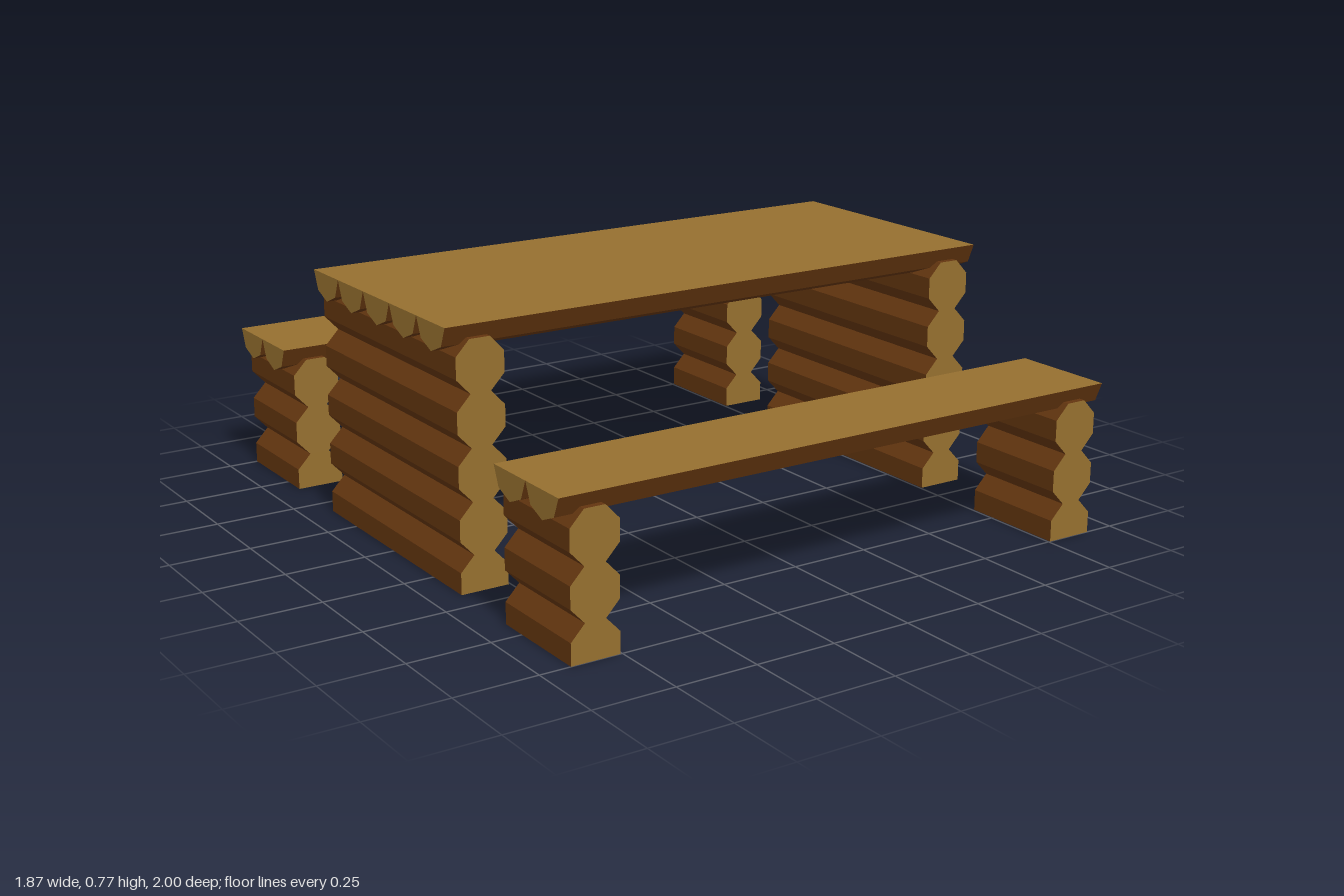
import * as THREE from 'three';

const cutWood = new THREE.MeshStandardMaterial({ color: 0x956f2f });
cutWood.name = 'cutWood';
const bark = new THREE.MeshStandardMaterial({ color: 0x63350f });
bark.name = 'bark';

// Flat-faced prism along z from a counter-clockwise convex profile.
// Group 0 is bark, group 1 is sawn wood: the ends and, if sawn, the closing face.
function prism(profile, length, sawn) {
  const sides = [], cuts = [];
  const n = profile.length, h = length / 2;
  const at = (i, z) => [profile[i % n][0], profile[i % n][1], z];
  for (let i = 0; i < n; i++) {
    const a = at(i, -h), b = at(i + 1, -h), c = at(i + 1, h), d = at(i, h);
    (sawn && i === n - 1 ? cuts : sides).push(...a, ...b, ...c, ...a, ...c, ...d);
  }
  for (let i = 1; i < n - 1; i++) {
    cuts.push(...at(0, h), ...at(i, h), ...at(i + 1, h));
    cuts.push(...at(0, -h), ...at(i + 1, -h), ...at(i, -h));
  }
  const geo = new THREE.BufferGeometry();
  geo.setAttribute('position', new THREE.Float32BufferAttribute([...sides, ...cuts], 3));
  geo.computeVertexNormals();
  geo.addGroup(0, sides.length / 3, 0);
  geo.addGroup(sides.length / 3, cuts.length / 3, 1);
  return geo;
}

const W = 0.075, H = 0.0775, F = 0.032; // log half width, half height, half facet
const PITCH = 0.155, BASE = 0.0325;     // log spacing and height of the lowest centre
const R = 0.0825;                       // plank radius

const logProfile = [[W, -F], [W, F], [F, H], [-F, H], [-W, F], [-W, -F], [-F, -H], [F, -H]];
// Lowest log is sawn flat where it meets the ground
const footProfile = [[W, -BASE], [W, F], [F, H], [-F, H], [-W, F], [-W, -BASE]];
// Split log: lower half of an octagon with a sawn flat top
const plankProfile = [0, 1, 2, 3, 4].map((i) => {
  const a = Math.PI + (i * Math.PI) / 4;
  return [R * Math.cos(a), R * Math.sin(a)];
});

function add(parent, name, geo, x, y, z) {
  const mesh = new THREE.Mesh(geo, [bark, cutWood]);
  mesh.name = name;
  mesh.position.set(x, y, z);
  parent.add(mesh);
}

// A top of split logs resting on two stacks of logs
function logFurniture(name, planks, logs, topY, z) {
  const group = new THREE.Group();
  group.name = name;
  group.position.z = z;
  const depth = planks * 2 * R + 0.006;
  const logGeo = prism(logProfile, depth, false);
  const footGeo = prism(footProfile, depth, true);
  const plankGeo = prism(plankProfile, 1.87, true).rotateY(Math.PI / 2);
  for (const side of [-1, 1]) {
    const stack = new THREE.Group();
    stack.name = side > 0 ? 'leftLogStack' : 'rightLogStack';
    for (let i = 0; i < logs; i++) {
      add(stack, i ? 'log' : 'footLog', i ? logGeo : footGeo, side * 0.831, BASE + i * PITCH, 0);
    }
    group.add(stack);
  }
  for (let i = 0; i < planks; i++) {
    add(group, 'plank', plankGeo, 0, topY, (i - (planks - 1) / 2) * 2 * R);
  }
  return group;
}

export function createModel() {
  const model = new THREE.Group();
  model.name = 'logPicnicTable';
  model.add(logFurniture('table', 5, 5, 0.77, 0));
  model.add(logFurniture('frontBench', 2, 3, 0.46, 0.832));
  model.add(logFurniture('backBench', 2, 3, 0.46, -0.832));
  return model;
}
